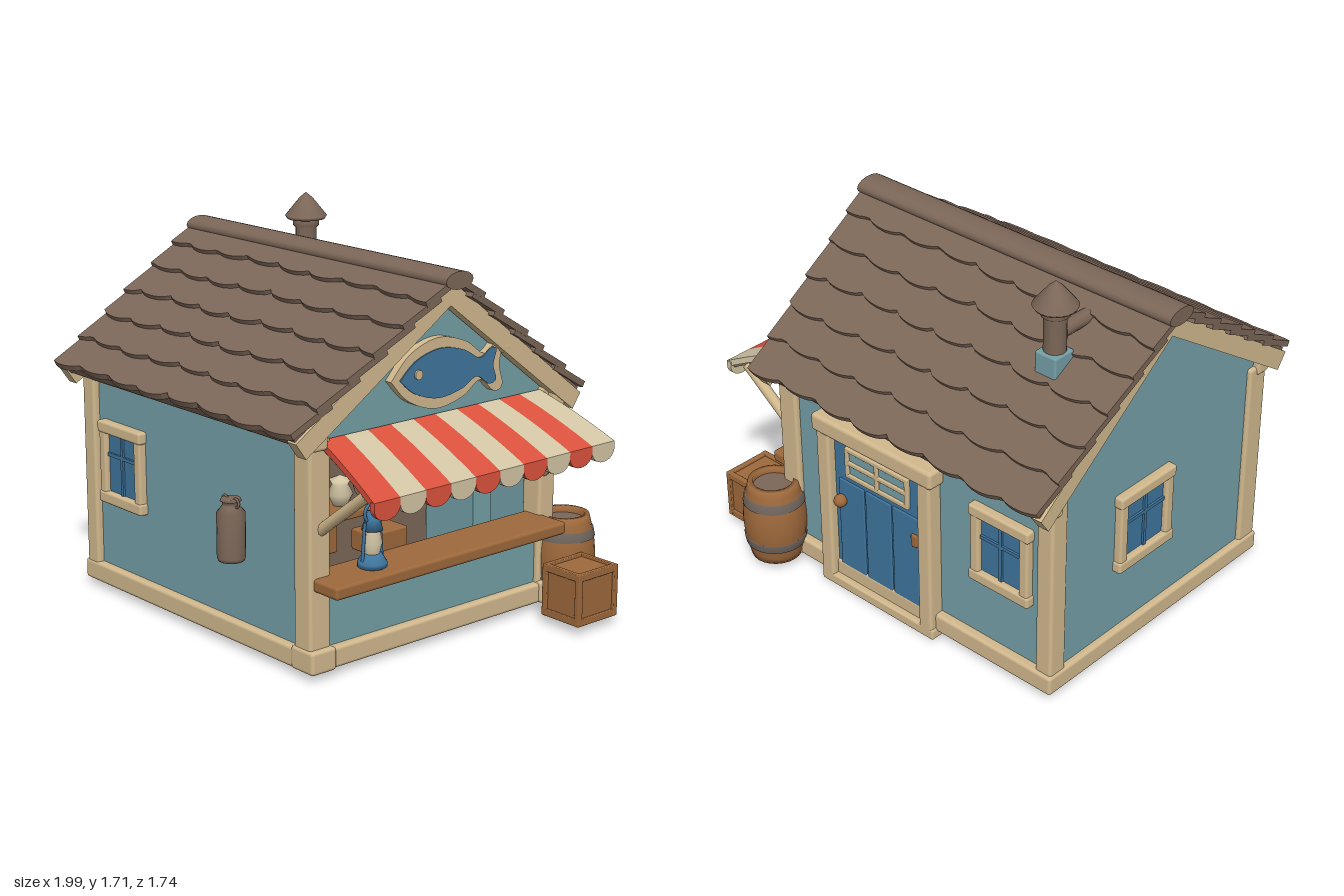
import * as THREE from 'three';
import { RoundedBoxGeometry } from 'three/addons/geometries/RoundedBoxGeometry.js';

const mat = (name, color, side = THREE.FrontSide) => {
  const m = new THREE.MeshStandardMaterial({ color, side });
  m.name = name;
  return m;
};
const TEAL = mat('teal boards', 0x74a0a7), CREAM = mat('cream trim', 0xd2b98e), BROWN = mat('brown shingle', 0x7c6758, THREE.DoubleSide);
const RED = mat('red cloth', 0xdc523d), CLOTH = mat('pale cloth', 0xd3c6a5), BLUE = mat('blue paint', 0x3f759e);
const WOOD = mat('warm wood', 0x9e693c, THREE.DoubleSide), IRON = mat('grey iron', 0x71665f);

export function createModel() {
  const root = new THREE.Group();
  root.name = 'marketHut';
  const add = (name, geo, material, parent = root, x = 0, y = 0, z = 0) => {
    const m = new THREE.Mesh(geo, material);
    m.name = name;
    m.position.set(x, y, z);
    parent.add(m);
    return m;
  };
  const group = (name, x = 0, y = 0, z = 0, parent = root) => {
    const g = new THREE.Group();
    g.name = name;
    g.position.set(x, y, z);
    parent.add(g);
    return g;
  };
  // box given by its limits; r rounds the edges
  const box = (name, material, x0, x1, y0, y1, z0, z1, r = 0, parent = root) => {
    const [w, h, d] = [x1 - x0, y1 - y0, z1 - z0];
    const geo = r ? new RoundedBoxGeometry(w, h, d, 2, r) : new THREE.BoxGeometry(w, h, d);
    return add(name, geo, material, parent, (x0 + x1) / 2, (y0 + y1) / 2, (z0 + z1) / 2);
  };
  // outline in (z, y), extruded towards +x from x
  const side = (name, material, pts, x, depth, hole) => {
    const flip = a => a.map(([z, y]) => new THREE.Vector2(-z, y));
    const s = new THREE.Shape(flip(pts));
    if (hole) s.holes.push(new THREE.Path(flip(hole)));
    const geo = new THREE.ExtrudeGeometry(s, { depth, bevelEnabled: false }).rotateY(Math.PI / 2);
    return add(name, geo, material, root, x);
  };
  const rod = (name, material, a, b, r, parent = root) => {
    const p = new THREE.Vector3(...a), q = new THREE.Vector3(...b), d = q.clone().sub(p);
    const m = add(name, new THREE.CylinderGeometry(r, r, d.length(), 10), material, parent);
    m.position.copy(p).add(q).multiplyScalar(0.5);
    m.quaternion.setFromUnitVectors(new THREE.Vector3(0, 1, 0), d.normalize());
    return m;
  };
  const lathe = (name, material, pts, parent, x, y, z, n = 24) =>
    add(name, new THREE.LatheGeometry(pts.map(p => new THREE.Vector2(...p)), n), material, parent, x, y, z);

  // walls
  box('frontWall', TEAL, -0.9, 0.6, 0.06, 1.05, 0.66, 0.7);
  box('backWall', TEAL, -0.9, 0.6, 0.06, 1.0, -0.63, -0.59);
  const gable = [[0.69, 0.06], [0.69, 1.07], [0.02, 1.51], [-0.62, 1.01], [-0.62, 0.06]];
  side('leftWall', TEAL, gable, -0.91, 0.04);
  side('rightWall', TEAL, gable, 0.57, 0.04, [[0.61, 0.4], [0.61, 0.92], [-0.56, 0.92], [-0.56, 0.4]]);

  // floor, base beams, posts and top beams
  box('floor', CREAM, -0.91, 0, 0.035, 0.07, -0.62, 0.7);
  for (const [z0, z1] of [[0.63, 0.735], [-0.67, -0.56]]) box('baseBeam', CREAM, -0.94, 0.65, 0.03, 0.12, z0, z1, 0.015);
  for (const [x0, x1] of [[-0.94, -0.84], [0.55, 0.645]]) box('baseBeam', CREAM, x0, x1, 0.03, 0.12, -0.65, 0.72, 0.015);
  for (const [x0, x1] of [[-0.93, -0.845], [0.53, 0.635]])
    for (const [z0, z1] of [[0.62, 0.73], [-0.655, -0.56]]) box('cornerPost', CREAM, x0, x1, 0.05, 1.0, z0, z1, 0.015);
  for (const z of [0.73, -0.66]) {
    box('postFoot', CREAM, 0.52, 0.66, 0.03, 0.13, z - (z > 0 ? 0.12 : 0.02), z + (z > 0 ? 0.01 : 0.1), 0.015);
  }
  box('frontTopBeam', CREAM, -0.94, 0.67, 0.96, 1.04, 0.66, 0.735, 0.015);
  box('backTopBeam', CREAM, -0.94, 0.67, 0.9, 0.98, -0.67, -0.6, 0.015);
  const barge = [[0.83, 1.015], [0.02, 1.55], [-0.755, 0.955], [-0.71, 0.89], [0.02, 1.445], [0.78, 0.945]];
  side('rightBargeBoard', CREAM, barge, 0.62, 0.055);
  side('leftBargeBoard', CREAM, barge, -0.955, 0.055);

  // roof slopes: overlapping rows with scalloped lower edges
  const ROWS = 6, MID = -0.14;
  const slope = (name, ez, ey, dir) => {
    const g = group(name);
    const w = new THREE.Vector3(0, 1.55 - ey, 0.02 - ez), len = w.length(), u = new THREE.Vector3(dir, 0, 0);
    w.normalize();
    g.matrix.makeBasis(u, w, u.clone().cross(w)).setPosition(MID, ey, ez);
    g.matrix.decompose(g.position, g.quaternion, g.scale);
    const h = len / ROWS, half = y => 0.81 + 0.05 * Math.min(1, y / len);
    for (let i = 0; i < ROWS; i++) {
      const y0 = i * h, y1 = Math.min(y0 + h + 0.04, len), s = new THREE.Shape();
      s.moveTo(half(y1), y1 - y0);
      s.lineTo(-half(y1), y1 - y0);
      for (let k = 0; k <= 64; k++) {
        const x = half(y0) * (k / 32 - 1);
        const scallop = Math.abs(Math.sin(Math.PI * (x / 0.208 + i * 0.5)));
        s.lineTo(x, -0.03 * Math.sqrt(scallop) + 0.006 * Math.sin(x * 9 + i * 2));
      }
      const row = add('shingleRow', new THREE.ExtrudeGeometry(s, { depth: 0.028, bevelEnabled: false }), BROWN, g, 0, y0 + 0.015, 0.012);
      row.rotation.x = -0.12;
    }
    box('roofDeck', BROWN, -0.8, 0.8, 0.01, len, -0.03, 0.005, 0, g);
  };
  slope('frontRoof', 0.835, 1.02, 1);
  slope('backRoof', -0.76, 0.965, -1);
  const cap = add('ridgeCap', new THREE.CylinderGeometry(0.075, 0.075, 1.72, 14, 8).rotateZ(Math.PI / 2), BROWN, root, MID, 1.555, 0.015);
  cap.scale.y = 0.5;

  // chimney
  const chimney = group('chimney', -0.63, 0, -0.31);
  box('chimneyBase', TEAL, -0.055, 0.055, 1.22, 1.4, -0.06, 0.055, 0.01, chimney);
  lathe('chimneyPipe', BROWN, [[0.048, 1.3], [0.048, 1.55], [0.06, 1.56], [0.06, 1.6], [0, 1.6]], chimney, 0, 0, 0, 16);
  lathe('chimneyCap', BROWN, [[0, 1.595], [0.085, 1.59], [0.095, 1.605], [0.03, 1.685], [0, 1.71]], chimney, 0, 0, 0, 20);
  rod('chimneyElbow', BROWN, [0, 1.47, 0], [0, 1.47, 0.2], 0.033, chimney);

  // windows, built facing +z around their middle
  const makeWindow = (name, x, y, z, turn, w) => {
    const g = group(name, x, y, z), a = w / 2, b = 0.18;
    g.rotation.y = turn;
    box('pane', BLUE, -a + 0.03, a - 0.03, -b + 0.03, b - 0.03, -0.02, 0.012, 0, g);
    for (const s of [-1, 1]) {
      box('frameSide', CREAM, s * (a - 0.022) - 0.024, s * (a - 0.022) + 0.024, -b, b, -0.02, 0.035, 0.012, g);
      box('frameRail', CREAM, -a - 0.008, a + 0.008, s * (b - 0.02) - 0.027, s * (b - 0.02) + 0.027, -0.02, 0.04, 0.012, g);
    }
    box('mullion', BLUE, -0.008, 0.008, -b + 0.04, b - 0.04, 0, 0.022, 0, g);
    box('mullion', BLUE, -a + 0.04, a - 0.04, 0.03, 0.046, 0, 0.022, 0, g);
  };
  makeWindow('frontWindow', -0.655, 0.605, 0.7, 0, 0.3);
  makeWindow('backWindow', -0.65, 0.595, -0.63, Math.PI, 0.31);
  makeWindow('leftWindow', -0.91, 0.605, -0.07, -Math.PI / 2, 0.34);

  // back door
  const door = group('backDoor', 0.03, 0, -0.63);
  box('doorPanel', BLUE, -0.28, 0.28, 0.05, 0.8, -0.03, 0.01, 0, door);
  for (const x of [-0.16, 0, 0.16]) box('doorBoard', BLUE, x - 0.075, x + 0.075, 0.08, 0.56, -0.038, -0.02, 0.005, door);
  for (const s of [-1, 1]) box('doorJamb', CREAM, s * 0.295 - 0.037, s * 0.295 + 0.037, 0.02, 0.84, -0.07, 0.01, 0.015, door);
  box('doorLintel', CREAM, -0.35, 0.35, 0.775, 0.86, -0.08, 0.01, 0.018, door);
  box('doorStep', CREAM, -0.34, 0.33, 0, 0.05, -0.07, 0.08, 0.01, door);
  box('doorLight', TEAL, -0.17, 0.17, 0.6, 0.73, -0.036, -0.02, 0, door);
  for (const y of [0.6, 0.665, 0.73]) box('doorLightRail', CREAM, -0.185, 0.185, y - 0.011, y + 0.011, -0.046, -0.02, 0.005, door);
  for (const x of [-0.175, 0, 0.175]) box('doorLightBar', CREAM, x - 0.011, x + 0.011, 0.6, 0.73, -0.046, -0.02, 0.005, door);
  add('doorKnob', new THREE.SphereGeometry(0.03, 14, 10), WOOD, door, 0.21, 0.46, -0.055);
  box('doorLatch', WOOD, -0.235, -0.2, 0.42, 0.48, -0.05, -0.02, 0.008, door);

  // striped awning: narrow at the wall, wider at the outer edge
  const awning = group('awning'), N = 10;
  const edge = (k, out) => out ? 0.71 - k * 0.134 : 0.66 - k * 0.122;
  const slab = (name, material, k0, k1, thick, drop) => {
    const geo = new THREE.BoxGeometry(1, thick, 1, 6, 1, 1), p = geo.attributes.position;
    for (let i = 0; i < p.count; i++) {
      const t = p.getX(i) + 0.5, k = p.getZ(i) > 0 ? k0 : k1;
      p.setXYZ(i, 0.62 + 0.37 * t, p.getY(i) + 0.975 - 0.13 * t - 0.03 * t * t - drop, edge(k, 0) * (1 - t) + edge(k, 1) * t);
    }
    geo.computeVertexNormals();
    add(name, geo, material, awning);
  };
  for (let k = 0; k < N; k++) {
    const m = k % 2 ? CLOTH : RED, z0 = edge(k, 1), z1 = edge(k + 1, 1), pts = [[z0, 0.83], [z0, 0.8]];
    slab('awningStripe', m, k, k + 1, 0.03, 0);
    for (let j = 1; j < 12; j++) {
      const a = Math.PI * j / 12;
      pts.push([(z0 + z1) / 2 + (z0 - z1) / 2 * Math.cos(a), 0.8 - 0.05 * Math.sin(a)]);
    }
    pts.push([z1, 0.8], [z1, 0.83]);
    awning.add(side('awningScallop', m, pts, 0.968, 0.025));
  }
  slab('awningLining', BROWN, 0.1, N - 0.1, 0.014, 0.022);
  for (const z of [0.665, -0.59]) rod('awningStrut', CREAM, [0.62, 0.62, z], [0.9, 0.83, z], 0.024);

  // counter and the room behind it
  box('counter', WOOD, 0.54, 0.775, 0.375, 0.43, -0.585, 0.71, 0.014);
  box('roomBackWall', BROWN, 0, 0.03, 0.04, 1.0, -0.59, 0.66);
  box('roomCeiling', BROWN, 0, 0.57, 0.95, 0.97, -0.59, 0.66);
  box('roomPost', TEAL, 0.05, 0.35, 0.06, 0.94, -0.55, -0.44);
  box('shelf', WOOD, 0.2, 0.45, 0.56, 0.59, 0.24, 0.62, 0.006);
  box('shelfBox', WOOD, 0.25, 0.42, 0.42, 0.55, 0.4, 0.56, 0.008);
  box('counterBox', WOOD, 0.42, 0.55, 0.42, 0.51, 0.13, 0.33, 0.008);
  lathe('jug', WOOD, [[0, 0], [0.045, 0], [0.055, 0.05], [0.042, 0.09], [0.05, 0.11], [0, 0.11]], root, 0.34, 0.59, 0.53, 16);
  lathe('pot', CLOTH, [[0, 0], [0.03, 0], [0.055, 0.05], [0.035, 0.09], [0.045, 0.11], [0, 0.13]], root, 0.34, 0.59, 0.32, 16);
  const net = new THREE.PlaneGeometry(1, 1, 24, 12).rotateY(Math.PI / 2), np = net.attributes.position;
  for (let i = 0; i < np.count; i++) {
    const t = 0.5 - np.getY(i), s = np.getZ(i) * 2;
    const swag = t * (1 - 0.5 * s * s);
    np.setXYZ(i, 0.1 + 0.02 * Math.cos(s * 14) + 0.04 * swag, 0.9 - 0.47 * swag, -0.07 + s * 0.25 * (1 - 0.35 * t * t));
  }
  net.computeVertexNormals();
  add('hangingNet', net, BROWN);

  // lantern on the counter
  const lantern = group('lantern', 0.66, 0.43, 0.425);
  lathe('lanternBase', BLUE, [[0, 0], [0.062, 0], [0.062, 0.02], [0.04, 0.055], [0, 0.06]], lantern, 0, 0, 0, 16);
  lathe('lanternGlass', CLOTH, [[0.03, 0.05], [0.042, 0.1], [0.03, 0.16]], lantern, 0, 0, 0, 16);
  lathe('lanternTop', BLUE, [[0, 0.155], [0.045, 0.155], [0.03, 0.2], [0.022, 0.23], [0, 0.235]], lantern, 0, 0, 0, 16);
  for (const s of [-1, 1]) rod('lanternBar', BLUE, [0, 0.03, s * 0.052], [0, 0.19, s * 0.04], 0.007, lantern);
  add('lanternHandle', new THREE.TorusGeometry(0.04, 0.007, 8, 20).rotateY(Math.PI / 2), BLUE, lantern, 0, 0.225, 0);

  // fish sign
  const fish = [[0.315, 1.17], [0.21, 1.27], [0.06, 1.315], [-0.09, 1.28], [-0.2, 1.21], [-0.27, 1.255], [-0.31, 1.24], [-0.29, 1.15],
    [-0.31, 1.06], [-0.26, 1.04], [-0.18, 1.1], [-0.08, 1.045], [0.07, 1.02], [0.22, 1.075], [0.315, 1.17]];
  const smooth = pts => new THREE.SplineCurve(pts.map(p => new THREE.Vector2(...p))).getPoints(90).slice(0, -1).map(v => [v.x, v.y]);
  side('fishSignRim', CREAM, smooth(fish), 0.6, 0.045);
  side('fishSignFace', BLUE, smooth(fish.map(([z, y]) => [z * 0.86, 1.165 + (y - 1.165) * 0.7])), 0.645, 0.006);
  add('fishEye', new THREE.CylinderGeometry(0.02, 0.02, 0.009, 16).rotateZ(Math.PI / 2), CREAM, root, 0.655, 1.18, 0.175);
  add('signPeg', new THREE.SphereGeometry(0.032, 12, 10), CREAM, root, 0.645, 1.225, -0.315);

  // canister on the front wall
  const can = group('canister', 0.185, 0.41, 0.772);
  lathe('canisterBody', BROWN, [[0, 0], [0.055, 0], [0.06, 0.015], [0.06, 0.205], [0.035, 0.235], [0.035, 0.25], [0.045, 0.255], [0.04, 0.265], [0, 0.265]], can, 0, 0, 0, 20);
  for (const s of [-1, 1]) add('canisterHandle', new THREE.TorusGeometry(0.018, 0.006, 6, 12), BROWN, can, s * 0.036, 0.25, 0);

  // barrel with hoops
  const barrel = group('barrel', 0.63, 0.03, -0.72);
  const bulge = y => 0.112 + 0.03 * Math.sin(Math.PI * y / 0.38);
  const stave = Array.from({ length: 13 }, (_, i) => [bulge(i * 0.38 / 12), i * 0.38 / 12]);
  lathe('barrelStaves', WOOD, [[0, 0], ...stave, [0.09, 0.38], [0.09, 0.35]], barrel, 0, 0, 0);
  add('barrelLid', new THREE.CircleGeometry(0.095, 24).rotateX(-Math.PI / 2), BROWN, barrel, 0, 0.352, 0);
  for (const y of [0.07, 0.28]) lathe('barrelHoop', IRON, [[bulge(y), y], [bulge(y) + 0.005, y], [bulge(y + 0.04) + 0.005, y + 0.04], [bulge(y + 0.04), y + 0.04]], barrel, 0, 0, 0);

  // crate with edge battens
  const crate = group('crate', 0.877, 0.155, -0.57);
  box('crateBody', WOOD, -0.097, 0.097, -0.105, 0.105, -0.11, 0.11, 0, crate);
  for (const s of [-1, 1]) for (const t of [-1, 1]) {
    box('crateBatten', WOOD, s * 0.095 - 0.013, s * 0.095 + 0.013, -0.115, 0.115, t * 0.108 - 0.013, t * 0.108 + 0.013, 0.004, crate);
    box('crateBatten', WOOD, -0.108, 0.108, s * 0.1 - 0.016, s * 0.1 + 0.016, t * 0.108 - 0.012, t * 0.108 + 0.012, 0.004, crate);
    box('crateBatten', WOOD, s * 0.095 - 0.012, s * 0.095 + 0.012, t * 0.1 - 0.016, t * 0.1 + 0.016, -0.12, 0.12, 0.004, crate);
  }
  return root;
}
